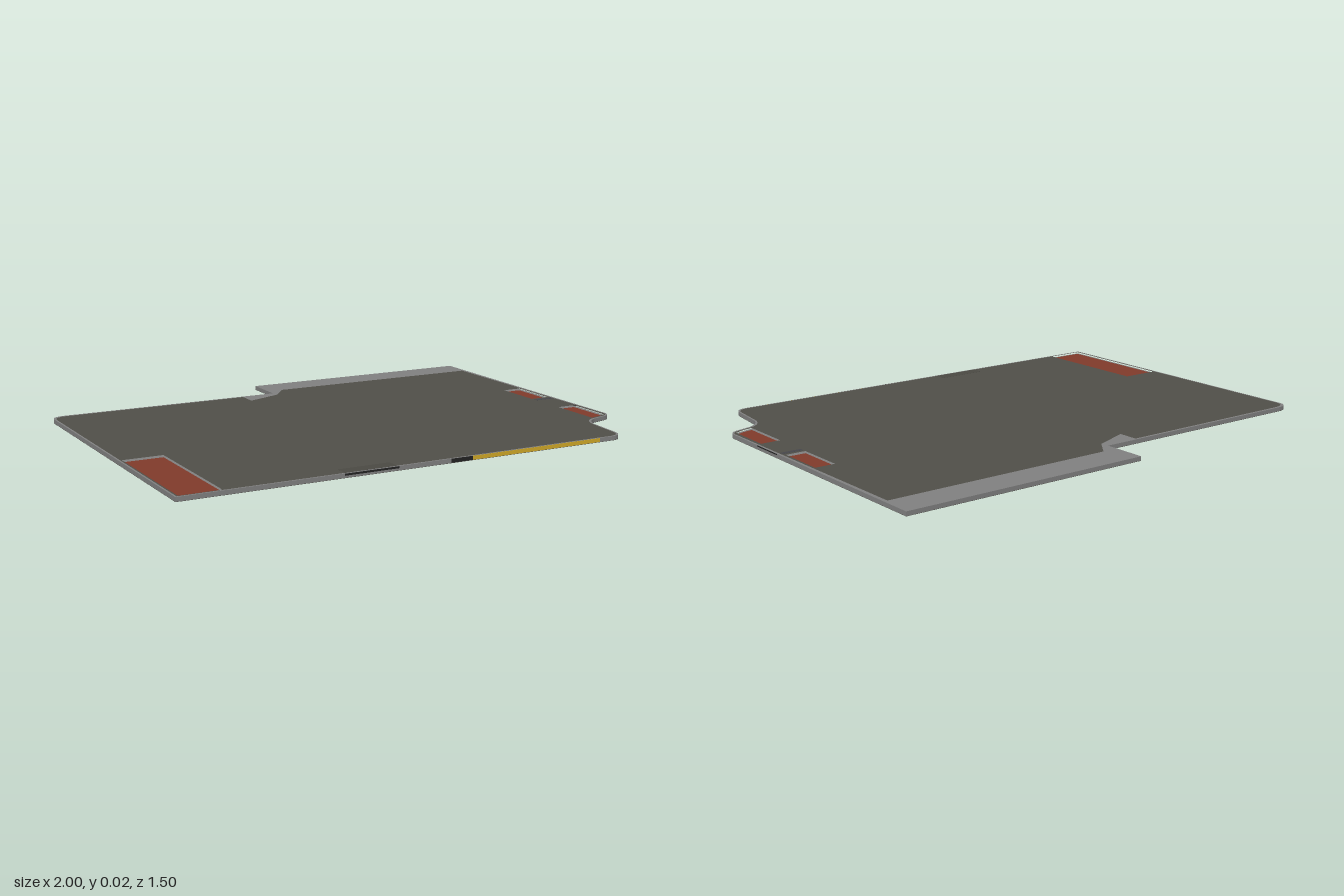
import * as THREE from 'three';

const GREY = 0x808080, DARK = 0x504f48, RED = 0x803a2a, YELLOW = 0xd0a828, BLACK = 0x222222;
const FLOOR = 0.008, TOP = 0.017;

// Closed path on the ground plane; corners are written as x, z
function trace(Type, draw) {
  const p = new Type();
  draw({
    m: (x, z) => p.moveTo(x, -z),
    l: (x, z) => p.lineTo(x, -z),
    q: (a, b, x, z) => p.quadraticCurveTo(a, -b, x, -z),
  });
  p.closePath();
  return p;
}

// Front edge and notched corner, shared by body and panel; i is the inset
function frontSide(p, i) {
  p.l(1 - i, 0.41);
  p.q(1 - i, 0.45 - i, 0.955 - i, 0.46 - i);
  p.l(0.90 - i, 0.475 - i);
  p.q(0.845 - i, 0.5 - i, 0.838 - i, 0.56);
  p.l(0.825 - i, 0.69);
  p.q(0.822 - i, 0.748 - i, 0.77 - i, 0.748 - i);
  p.l(-1 + i, 0.748 - i);
}

const bodyOutline = (p) => {
  p.m(1, -0.75);
  frontSide(p, 0);
  p.l(-1, -0.52);
  p.q(-1, -0.573, -0.94, -0.573);
  p.l(-0.015, -0.573);
  p.l(-0.015, -0.75);
};

const panelOutline = (p) => {
  p.m(0.985, -0.62);
  frontSide(p, 0.007);
  p.l(-0.993, -0.51);
  p.q(-0.99, -0.563, -0.93, -0.563);
  p.l(-0.16, -0.563);
  p.l(-0.16, -0.48);
  p.l(-0.01, -0.54);
  p.l(0.05, -0.62);
};

// Pad recesses as corner loops
const pads = [
  ['rightPad', [[-0.987, 0.215], [-0.83, 0.215], [-0.83, 0.737], [-0.987, 0.737]]],
  ['leftRearPad', [[0.9, -0.155], [0.98, -0.155], [0.98, 0.05], [0.9, 0.05]]],
  ['leftFrontPad', [[0.9, 0.235], [0.98, 0.235], [0.98, 0.43], [0.945, 0.447], [0.9, 0.458]]],
];
const loop = (pts) => (p) => pts.forEach(([x, z], i) => (i ? p.l(x, z) : p.m(x, z)));

export function createModel() {
  const model = new THREE.Group();
  const add = (name, geometry, color) => {
    const mesh = new THREE.Mesh(geometry, new THREE.MeshStandardMaterial({ color }));
    mesh.name = name;
    model.add(mesh);
    return mesh;
  };
  const slab = (name, outline, holes, y0, y1, color) => {
    const shape = trace(THREE.Shape, outline);
    shape.holes = holes.map((h) => trace(THREE.Path, h));
    const g = new THREE.ExtrudeGeometry(shape, { depth: y1 - y0, bevelEnabled: false, curveSegments: 10 });
    g.rotateX(-Math.PI / 2).translate(0, y0, 0);
    return add(name, g, color);
  };
  const box = (name, x0, x1, y0, y1, z0, z1, color) => {
    const g = new THREE.BoxGeometry(x1 - x0, y1 - y0, z1 - z0);
    add(name, g.translate((x0 + x1) / 2, (y0 + y1) / 2, (z0 + z1) / 2), color);
  };

  // Dark underside, grey body, grey rim with rear ledge, dark top panel
  slab('underside', bodyOutline, [], 0, 0.001, DARK);
  slab('body', bodyOutline, [], 0.001, FLOOR, GREY);
  slab('rim', bodyOutline, [panelOutline], FLOOR, TOP, GREY);
  slab('topPanel', panelOutline, pads.map(([, pts]) => loop(pts)), FLOOR, TOP, DARK);

  // Red pads on the floor of their recesses
  for (const [name, pts] of pads) slab(name, loop(pts), [], FLOOR - 0.002, FLOOR + 0.001, RED);

  // Front edge details
  box('frontStrip', 0.14, 0.71, 0.002, 0.0165, 0.742, 0.75, YELLOW);
  box('frontPlug', 0.05, 0.14, 0.002, 0.0165, 0.742, 0.75, BLACK);
  box('frontSlot', -0.38, -0.165, 0.009, 0.016, 0.742, 0.749, BLACK);
  box('frontTab', -0.375, -0.17, 0.0165, 0.0174, 0.69, 0.742, 0x4a4943);

  // Left edge slot and rib
  box('sideSlot', 0.99, 1.0004, 0.012, 0.0165, 0.08, 0.23, BLACK);
  box('sideRib', 0.9, 0.985, 0.0165, 0.0174, 0.065, 0.085, 0x46464a);
  return model;
}
